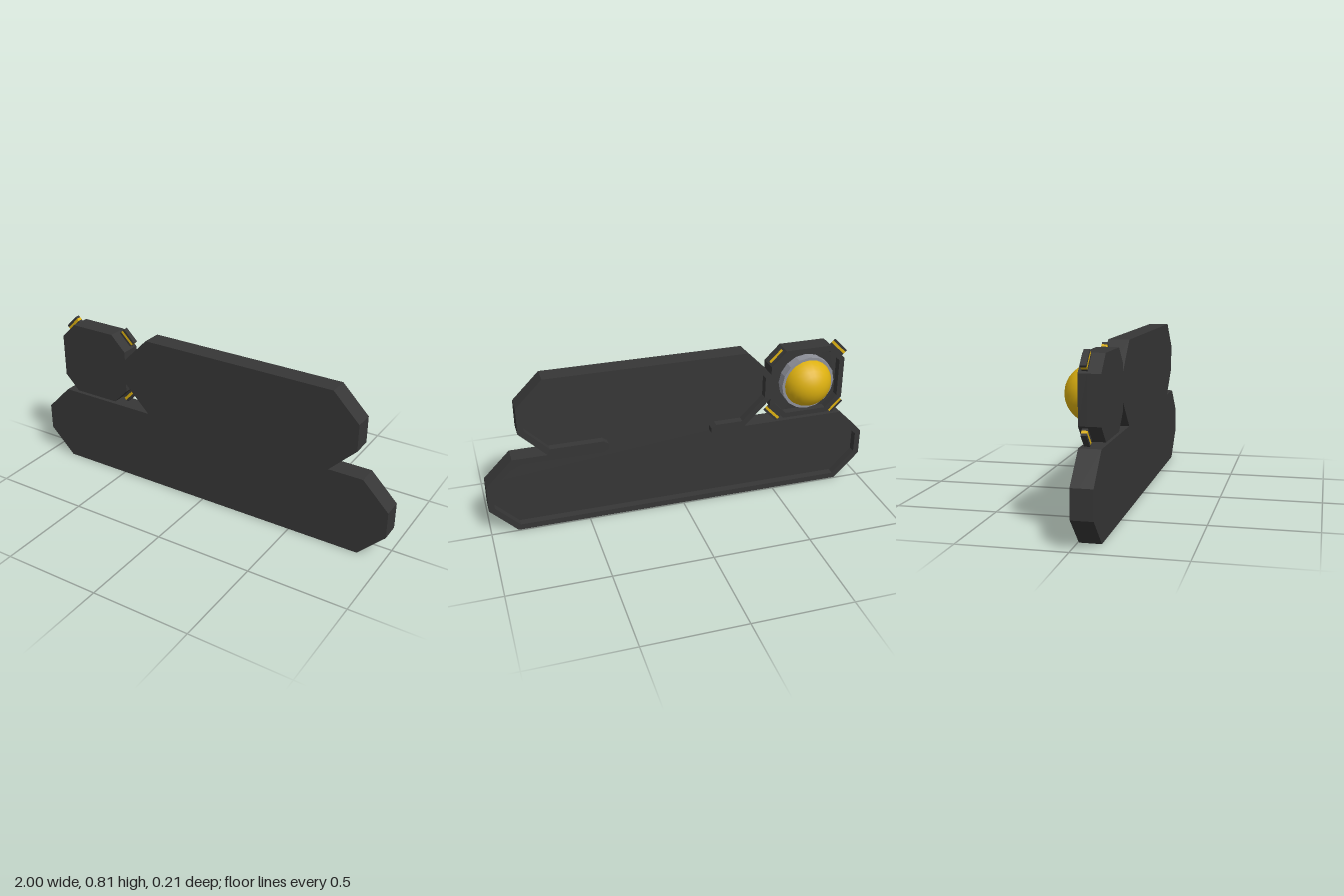
import * as THREE from 'three';

const dark = new THREE.MeshStandardMaterial({ color: 0x363636 });
dark.name = 'charcoal';
const yellow = new THREE.MeshStandardMaterial({ color: 0xdcb010 });
yellow.name = 'amber';
const grey = new THREE.MeshStandardMaterial({ color: 0x8e9099 });
grey.name = 'steel';

const toPoints = (list) => list.map(([x, y]) => new THREE.Vector2(x, y));

// Flat plate from z0 to z1 with an optional opening
function plate(name, outline, z0, z1, material, hole) {
  const shape = new THREE.Shape(toPoints(outline));
  if (hole) shape.holes.push(new THREE.Path(toPoints(hole)));
  const geometry = new THREE.ExtrudeGeometry(shape, {
    depth: z1 - z0, bevelEnabled: false, curveSegments: 8,
  });
  geometry.translate(0, 0, z0);
  const mesh = new THREE.Mesh(geometry, material);
  mesh.name = name;
  return mesh;
}

// Rectangle with cut corners, inset evenly by d
function cutRect(hw, hh, cut, d = 0) {
  const w = hw - d, h = hh - d;
  const c = cut - d * (2 - Math.SQRT2);
  return [[-w, -h + c], [-w + c, -h], [w - c, -h], [w, -h + c],
    [w, h - c], [w - c, h], [-w + c, h], [-w, h - c]];
}

// Two overlapping cut-corner slabs in one outline
const slabOutline = [
  [-1, 0.135], [-0.865, 0], [0.865, 0], [1, 0.135], [1, 0.27], [0.865, 0.405],
  [0.69, 0.405], [0.825, 0.54], [0.825, 0.675], [0.69, 0.81],
  [-0.33, 0.81], [-0.465, 0.675], [-0.465, 0.54], [-0.33, 0.405],
  [-0.865, 0.405], [-1, 0.27],
];

// Rear recess; the rim runs inward from each notch as a short tongue
const slabRecess = [
  [-0.97, 0.1475], [-0.8525, 0.03], [0.8525, 0.03], [0.97, 0.1475],
  [0.97, 0.2575], [0.8525, 0.375],
  [0.41, 0.375], [0.385, 0.392], [0.385, 0.418], [0.41, 0.435],
  [0.6775, 0.435], [0.795, 0.5525], [0.795, 0.6625], [0.6775, 0.78],
  [-0.3175, 0.78], [-0.435, 0.6625], [-0.435, 0.5525], [-0.3175, 0.435],
  [-0.175, 0.435], [-0.15, 0.418], [-0.15, 0.392], [-0.175, 0.375],
  [-0.8525, 0.375], [-0.97, 0.2575],
];

function createLampUnit() {
  const unit = new THREE.Group();
  unit.name = 'lampUnit';

  // Housing with a recessed back
  const outline = cutRect(0.2, 0.188, 0.078);
  unit.add(plate('housingFront', outline, 0.045, 0.105, dark));
  unit.add(plate('housingRim', outline, 0.005, 0.045, dark, cutRect(0.2, 0.188, 0.078, 0.027)));

  // Collar around the dome
  const profile = [[0.126, 0.045], [0.142, 0.045], [0.142, -0.005], [0.126, -0.005], [0.126, 0.045]];
  const collarGeometry = new THREE.LatheGeometry(toPoints(profile), 16).toNonIndexed();
  collarGeometry.rotateX(Math.PI / 2);
  collarGeometry.computeVertexNormals();
  const collar = new THREE.Mesh(collarGeometry, grey);
  collar.material.side = THREE.DoubleSide;
  collar.name = 'domeCollar';
  unit.add(collar);

  // Dome bulging to the rear
  const domeGeometry = new THREE.SphereGeometry(0.131, 20, 8, 0, Math.PI * 2, 0, Math.PI / 2);
  domeGeometry.rotateX(-Math.PI / 2);
  domeGeometry.translate(0, 0, 0.026);
  const dome = new THREE.Mesh(domeGeometry, yellow);
  dome.name = 'dome';
  unit.add(dome);

  // Layered bars on the four cut corners
  for (const sx of [-1, 1]) {
    for (const sy of [-1, 1]) {
      const bar = new THREE.Group();
      bar.name = 'cornerBar';
      for (const [name, offset, thick, material] of [
        ['barInner', -0.015, 0.016, dark],
        ['barCore', 0, 0.014, yellow],
        ['barOuter', 0.013, 0.012, dark],
      ]) {
        const layer = new THREE.Mesh(new THREE.BoxGeometry(0.086, thick, 0.026), material);
        layer.name = name;
        layer.position.y = offset;
        bar.add(layer);
      }
      bar.position.set(sx * 0.174, sy * 0.162, 0.033);
      bar.rotation.z = Math.atan2(sy, sx) - Math.PI / 2;
      unit.add(bar);
    }
  }
  unit.position.set(-0.665, 0.607, 0);
  return unit;
}

export function createModel() {
  const model = new THREE.Group();
  model.name = 'steppedPanelWithLamp';
  model.add(plate('slabFront', slabOutline, 0.045, 0.105, dark));
  model.add(plate('slabRim', slabOutline, 0.005, 0.045, dark, slabRecess));
  model.add(createLampUnit());
  return model;
}
